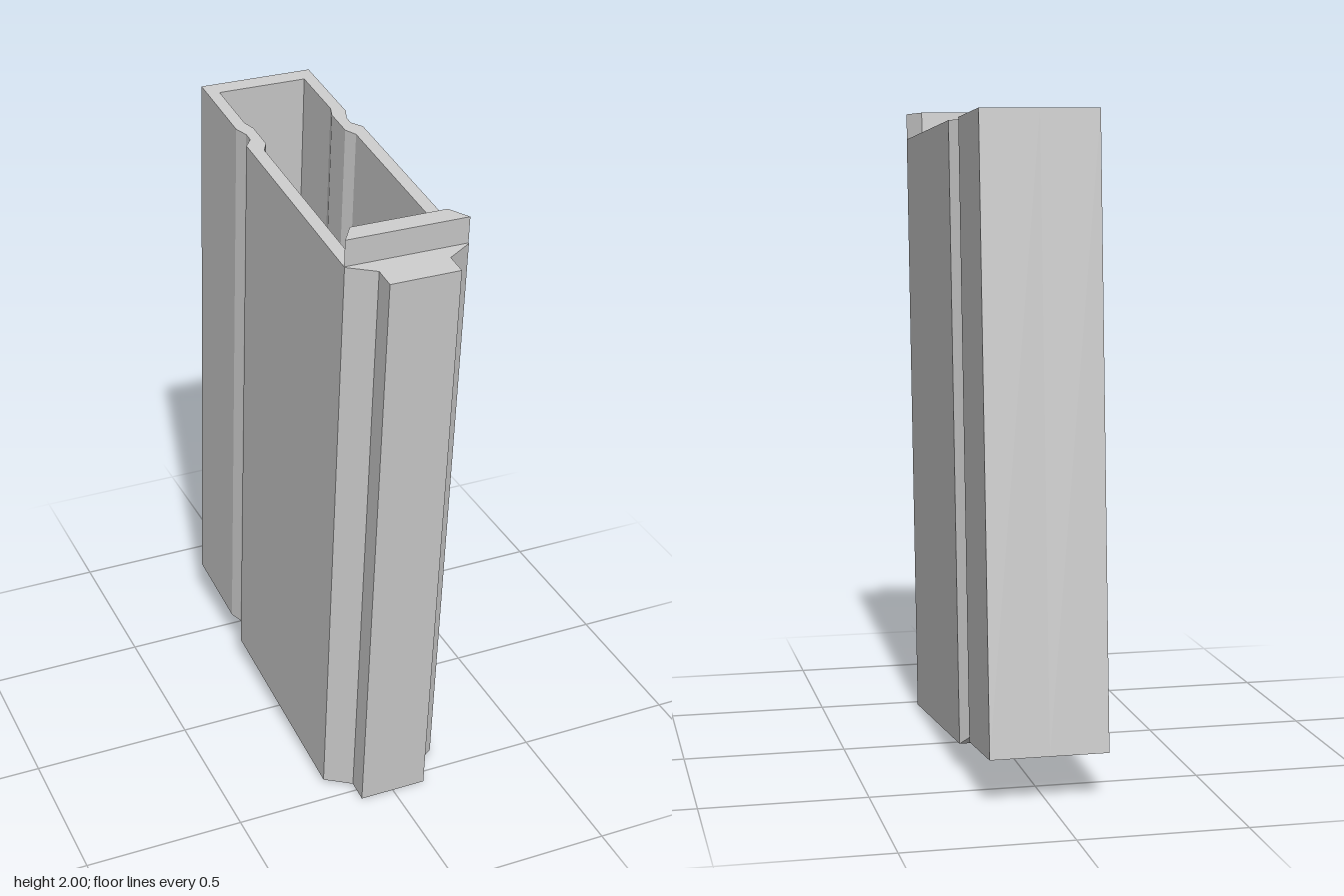
import * as THREE from 'three';

// Half outlines at the top rim, front to back, as [x, z]
const OUTER = [[0, 0.69], [0.107, 0.69], [0.107, 0.62], [0.187, 0.57], [0.187, -0.145],
  [0.162, -0.178], [0.162, -0.21], [0.178, -0.25], [0.178, -0.54], [0, -0.54]];
const INNER = [[0, 0.51], [0.147, 0.51], [0.147, -0.105], [0.127, -0.14],
  [0.127, -0.24], [0.14, -0.28], [0.14, -0.485], [0, -0.485]];
const LENGTH = 1.88, FLOOR_DEPTH = 1.34, STEP = 0.025;
const SLOPE = 0.0976; // rise of the rim toward the back
const LEAN = 0.077;   // forward lean of the walls

// Point on an outline, moved down the leaning axis by depth
const at = ([x, z], depth = 0) =>
  new THREE.Vector3(x, LENGTH + (0.69 - z) * SLOPE - depth, z - LEAN * depth);
const centre = (p) => p.clone().setX(0);

// Collects quads for the +x half and mirrors each to the other side
function mirroredMesh(name, quads) {
  const pos = [];
  const tri = (a, b, c) => {
    const area = b.clone().sub(a).cross(c.clone().sub(a)).length();
    if (area > 1e-7) for (const p of [a, b, c]) pos.push(p.x, p.y, p.z);
  };
  const flip = (p) => new THREE.Vector3(-p.x, p.y, p.z);
  for (const [a, b, c, d] of quads) {
    tri(a, b, c);
    tri(a, c, d);
    const [e, f, g, h] = [d, c, b, a].map(flip);
    tri(e, f, g);
    tri(e, g, h);
  }
  const geo = new THREE.BufferGeometry();
  geo.setAttribute('position', new THREE.Float32BufferAttribute(pos, 3));
  geo.computeVertexNormals();
  const mesh = new THREE.Mesh(geo, new THREE.MeshStandardMaterial({ color: 0xcccccc, flatShading: true }));
  mesh.name = name;
  return mesh;
}

// Outward walls between two matching half loops
function walls(low, high) {
  const quads = [];
  for (let i = 0; i < low.length - 1; i++) quads.push([low[i], low[i + 1], high[i + 1], high[i]]);
  return quads;
}
// Flat strips from a half loop to the centre plane
const capDown = (loop) => loop.slice(0, -1).map((p, i) =>
  [centre(p), centre(loop[i + 1]), loop[i + 1], p]);
const capUp = (loop) => capDown(loop).map((q) => q.reverse());

export function createModel() {
  const group = new THREE.Group();

  const top = OUTER.map((p) => at(p));
  // The base steps up behind the side grooves
  const bottom = OUTER.map((p) => {
    const v = at(p, LENGTH);
    if (p[1] < -0.16) v.y += STEP;
    return v;
  });
  const mouth = INNER.map((p) => at(p));
  const floor = INNER.map((p) => at(p, FLOOR_DEPTH));

  // Outer shell with its stepped base
  group.add(mirroredMesh('casing', [...walls(bottom, top), ...capDown(bottom)]));

  // Inner well, facing inward, with its floor
  group.add(mirroredMesh('innerWell', [
    ...walls(floor, mouth).map((q) => q.reverse()), ...capUp(floor)]));

  // Rim around the mouth, plus the top of the front spine
  const ring = [centre(top[3]), ...top.slice(3)];
  group.add(mirroredMesh('rim', [...walls(ring, mouth), ...capUp(top.slice(0, 4))]));

  // Raised lip at the front of the mouth
  const lipLow = [[0, 0.567], [0.187, 0.567], [0.147, 0.508], [0, 0.508]].map((p) => at(p));
  const lipHigh = lipLow.map((p) => p.clone().add(new THREE.Vector3(0, 0.082, 0.006)));
  group.add(mirroredMesh('frontLip', [...walls(lipLow, lipHigh), ...capUp(lipHigh)]));

  return group;
}
